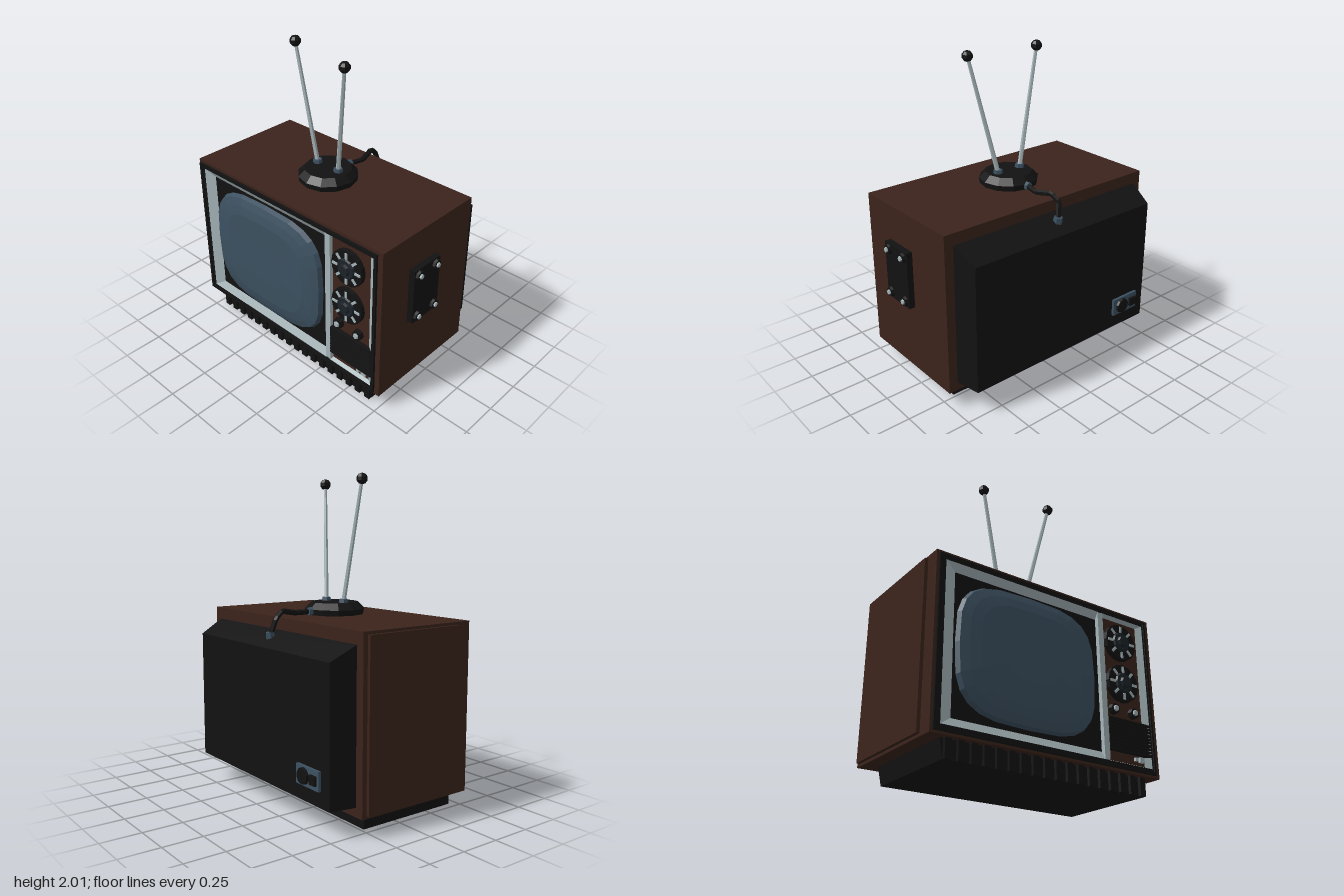
import * as THREE from 'three';

const mat = (color, side = THREE.FrontSide) => {
  const m = new THREE.MeshStandardMaterial({ flatShading: true, side });
  m.color.set(color);
  return m;
};
const brown = mat(0x3b231b), black = mat(0x121212), dark = mat(0x1b2329);
const silver = mat(0xa5b4b8), steel = mat(0x3c5060), glass = mat(0x3c5060);

export function createModel() {
  const root = new THREE.Group();
  const add = (name, geo, material, parent = root) => {
    const m = new THREE.Mesh(geo, material);
    m.name = name;
    parent.add(m);
    return m;
  };
  // Box given by its extents on each axis
  const box = (name, x0, x1, y0, y1, z0, z1, material, parent) => {
    const m = add(name, new THREE.BoxGeometry(x1 - x0, y1 - y0, z1 - z0), material, parent);
    m.position.set((x0 + x1) / 2, (y0 + y1) / 2, (z0 + z1) / 2);
    return m;
  };
  // Cylinder between two points
  const rod = (name, a, b, r0, r1, sides, material, parent) => {
    const p = new THREE.Vector3(...a), q = new THREE.Vector3(...b);
    const d = q.clone().sub(p);
    const m = add(name, new THREE.CylinderGeometry(r1, r0, d.length(), sides), material, parent);
    m.position.copy(p).add(q).multiplyScalar(0.5);
    m.quaternion.setFromUnitVectors(new THREE.Vector3(0, 1, 0), d.normalize());
    return m;
  };
  // Skin through matching rings, optionally capped at both ends
  const loft = (rings, caps = true) => {
    const pos = [], n = rings[0].length;
    const tri = (a, b, c) => pos.push(...a, ...b, ...c);
    for (let k = 0; k + 1 < rings.length; k++) {
      for (let i = 0; i < n; i++) {
        const j = (i + 1) % n, a = rings[k], b = rings[k + 1];
        tri(a[i], a[j], b[j]);
        tri(a[i], b[j], b[i]);
      }
    }
    if (caps) {
      const a = rings[0], b = rings[rings.length - 1];
      for (let i = 1; i + 1 < n; i++) {
        tri(a[0], a[i + 1], a[i]);
        tri(b[0], b[i], b[i + 1]);
      }
    }
    const g = new THREE.BufferGeometry();
    g.setAttribute('position', new THREE.Float32BufferAttribute(pos, 3));
    g.computeVertexNormals();
    return g;
  };
  const rect = (x0, x1, y0, y1, z) => [[x0, y0, z], [x1, y0, z], [x1, y1, z], [x0, y1, z]];
  // Flat rectangular frame with an opening
  const frame = (o, i, z0, z1) => {
    const pts = (r) => rect(...r, 0).map((p) => new THREE.Vector2(p[0], p[1]));
    const s = new THREE.Shape(pts(o));
    s.holes.push(new THREE.Path(pts(i).reverse()));
    return new THREE.ExtrudeGeometry(s, { depth: z1 - z0, bevelEnabled: false }).translate(0, 0, z0);
  };

  // Cabinet with its front rim and left-over side panel
  box('cabinet', -0.81, 0.76, 0.11, 1.145, -0.33, 0.45, brown);
  add('cabinetRim', frame([-0.81, 0.76, 0.11, 1.145], [-0.755, 0.7, 0.16, 1.095], 0.45, 0.475), brown);
  box('sidePanel', -0.83, -0.8, 0.127, 1.128, -0.3, 0.38, brown);
  add('outerTrim', frame([-0.795, 0.725, 0.125, 1.125], [-0.775, 0.71, 0.145, 1.11], 0.475, 0.49), black);
  add('innerTrim', frame([-0.775, 0.71, 0.145, 1.11], [-0.755, 0.7, 0.16, 1.095], 0.47, 0.484), black);

  // Tapered housing at the back
  add('backHousing', loft([
    rect(-0.725, 0.67, 0.165, 0.985, -0.49),
    rect(-0.755, 0.7, 0.165, 1.07, -0.33),
  ]), black);

  // Ribbed plinth
  add('base', loft([
    rect(-0.705, 0.665, -0.43, 0.23, 0),
    rect(-0.725, 0.685, -0.43, 0.24, 0.11),
  ]).rotateX(-Math.PI / 2), black);
  const ribs = 18;
  for (let i = 0; i < ribs; i++) {
    const x = -0.703 + (i * (1.366 - 0.04)) / (ribs - 1);
    box('baseRib', x, x + 0.04, 0, 0.11, 0.42, 0.45, black);
  }

  // Screen surround, divider and control panel
  box('screenBacking', -0.72, 0.34, 0.18, 1.08, 0.44, 0.455, black);
  add('screenBezel', loft([
    rect(-0.755, 0.335, 0.16, 1.095, 0.482),
    rect(-0.68, 0.33, 0.21, 1.05, 0.455),
  ], false), silver);
  box('divider', 0.33, 0.37, 0.165, 1.093, 0.45, 0.482, silver);
  box('controlPanel', 0.36, 0.68, 0.16, 1.095, 0.44, 0.458, brown);
  add('controlBezel', loft([
    rect(0.36, 0.7, 0.16, 1.095, 0.482),
    rect(0.365, 0.66, 0.172, 1.078, 0.457),
  ], false), silver);

  // Bulging picture tube
  const N = 24, pw = (v) => Math.sign(v) * Math.abs(v) ** 0.58;
  const screenRing = (s, z) => Array.from({ length: N }, (_, i) => {
    const t = (i / N) * Math.PI * 2;
    return [-0.19 + 0.48 * s * pw(Math.cos(t)), 0.635 + 0.4 * s * pw(Math.sin(t)), z];
  });
  add('screen', loft([
    screenRing(1, 0.452), screenRing(0.97, 0.484), screenRing(0.86, 0.499),
    screenRing(0.72, 0.511), screenRing(0.35, 0.514),
  ]), glass);

  // Two tuning dials with eight markers each
  for (const y of [0.93, 0.66]) {
    const dial = new THREE.Group();
    dial.name = 'dial';
    dial.position.set(0.505, y, 0);
    root.add(dial);
    rod('dialPlate', [0, 0, 0.45], [0, 0, 0.488], 0.12, 0.118, 16, black, dial);
    rod('dialRing', [0, 0, 0.488], [0, 0, 0.5], 0.066, 0.06, 12, dark, dial);
    rod('dialKnob', [0, 0, 0.5], [0, 0, 0.517], 0.038, 0.032, 8, dark, dial);
    for (let i = 0; i < 8; i++) {
      const a = (i * Math.PI) / 4;
      const m = box('dialMarker', -0.02, 0.02, -0.008, 0.008, 0.484, 0.494, silver, dial);
      m.position.x = Math.cos(a) * 0.086;
      m.position.y = Math.sin(a) * 0.086;
      m.rotation.z = a;
    }
  }
  // Small knobs
  for (const x of [0.43, 0.585]) {
    rod('smallKnob', [x, 0.485, 0.45], [x, 0.485, 0.488], 0.035, 0.032, 8, black);
    rod('smallKnobCap', [x, 0.485, 0.488], [x, 0.485, 0.498], 0.02, 0.017, 6, silver);
  }
  // Speaker grille and small buttons
  for (let i = 0; i < 10; i++) {
    const y = 0.23 + i * 0.0205;
    box('grilleSlat', 0.37, 0.7, y, y + 0.0145, 0.45, 0.487, black);
  }
  box('smallButton', 0.578, 0.598, 0.195, 0.215, 0.45, 0.475, silver);
  box('largeButton', 0.613, 0.648, 0.19, 0.222, 0.45, 0.475, silver);

  // Bolted plate on the side
  box('sidePlate', 0.755, 0.8, 0.55, 0.92, 0.005, 0.24, black);
  for (const y of [0.59, 0.88]) {
    for (const z of [0.045, 0.2]) {
      rod('boltSeat', [0.8, y, z], [0.816, y, z], 0.034, 0.03, 8, black);
      rod('bolt', [0.816, y, z], [0.826, y, z], 0.017, 0.015, 6, silver);
    }
  }

  // Socket plate on the back
  box('socketPlate', -0.65, -0.44, 0.26, 0.375, -0.508, -0.485, steel);
  rod('socket', [-0.512, 0.318, -0.5], [-0.512, 0.318, -0.523], 0.052, 0.048, 10, black);
  box('socketSwitch', -0.635, -0.58, 0.29, 0.345, -0.523, -0.5, black);

  // Rabbit-ear antenna
  const foot = [[0, 0], [0.185, 0], [0.19, 0.035], [0.15, 0.075], [0, 0.075]];
  add('antennaBase', new THREE.LatheGeometry(foot.map((p) => new THREE.Vector2(...p)), 12), black)
    .position.set(-0.03, 1.145, 0.08);
  const ears = [[[-0.12, 1.22, 0.08], [-0.27, 1.975, 0.1]], [[0.055, 1.22, 0.08], [0.2, 1.96, 0.18]]];
  for (const [a, b] of ears) {
    rod('antennaSocket', [a[0], 1.21, a[2]], [a[0], 1.242, a[2]], 0.033, 0.028, 6, steel);
    rod('antennaRod', a, b, 0.015, 0.011, 6, silver);
    add('antennaTip', new THREE.SphereGeometry(0.035, 8, 5), black).position.set(...b);
  }

  // Antenna cable with a plug at each end
  const path = new THREE.CurvePath();
  const pts = [[-0.03, 1.168, -0.1], [-0.005, 1.165, -0.21], [-0.03, 1.185, -0.32], [-0.045, 1.145, -0.375], [-0.02, 1.04, -0.4]]
    .map((p) => new THREE.Vector3(...p));
  for (let i = 0; i + 1 < pts.length; i++) path.add(new THREE.LineCurve3(pts[i], pts[i + 1]));
  add('antennaCable', new THREE.TubeGeometry(path, 24, 0.017, 6), black);
  rod('cablePlug', [-0.03, 1.168, -0.09], [-0.028, 1.168, -0.125], 0.028, 0.026, 6, steel);
  rod('cablePlug', [-0.018, 1.015, -0.395], [-0.018, 1.062, -0.402], 0.032, 0.028, 6, steel);

  return root;
}
